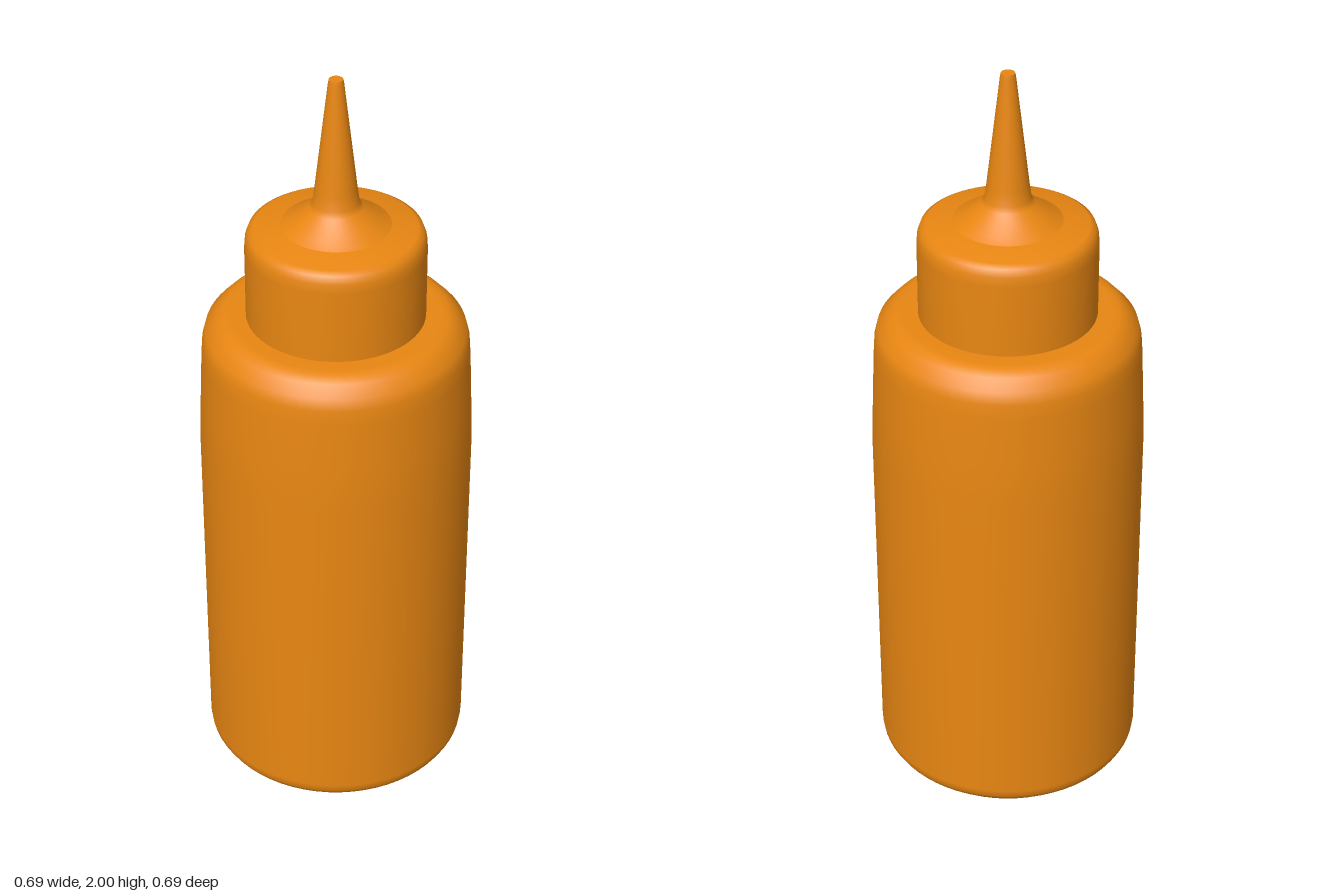
import * as THREE from 'three';

const material = new THREE.MeshStandardMaterial({ color: 0xe88612 });

// Revolve a [radius, height] profile; each profile is one smooth run.
function turned(name, profile) {
  const points = profile.map(([r, y]) => new THREE.Vector2(r, y));
  const mesh = new THREE.Mesh(new THREE.LatheGeometry(points, 64), material);
  mesh.name = name;
  return mesh;
}

function part(name, runs) {
  const group = new THREE.Group();
  group.name = name;
  for (const [runName, profile] of Object.entries(runs)) group.add(turned(runName, profile));
  return group;
}

export function createModel() {
  const model = new THREE.Group();
  model.name = 'squeezeBottle';

  // Body: chamfered foot, slight taper above the middle, rounded shoulder
  model.add(part('body', {
    base: [[0, 0], [0.28, 0]],
    wall: [
      [0.28, 0], [0.3, 0.012], [0.335, 0.045], [0.344, 0.06], [0.347, 0.08],
      [0.347, 1.0], [0.342, 1.12], [0.336, 1.25], [0.333, 1.29], [0.325, 1.32],
      [0.3, 1.347], [0.28, 1.358], [0.26, 1.36], [0.2, 1.36],
    ],
  }));

  // Screw cap with a softened rim and a gently rising top
  model.add(part('cap', {
    capWall: [[0.223, 1.36], [0.223, 1.55], [0.221, 1.575], [0.214, 1.594], [0.2, 1.602], [0.135, 1.613]],
  }));

  // Nozzle: flared root, long cone and flat tip
  model.add(part('nozzle', {
    cone: [[0.135, 1.613], [0.115, 1.625], [0.066, 1.661], [0.057, 1.675], [0.052, 1.71], [0.019, 1.99], [0.017, 2]],
    tip: [[0.017, 2], [0, 2]],
  }));

  return model;
}
